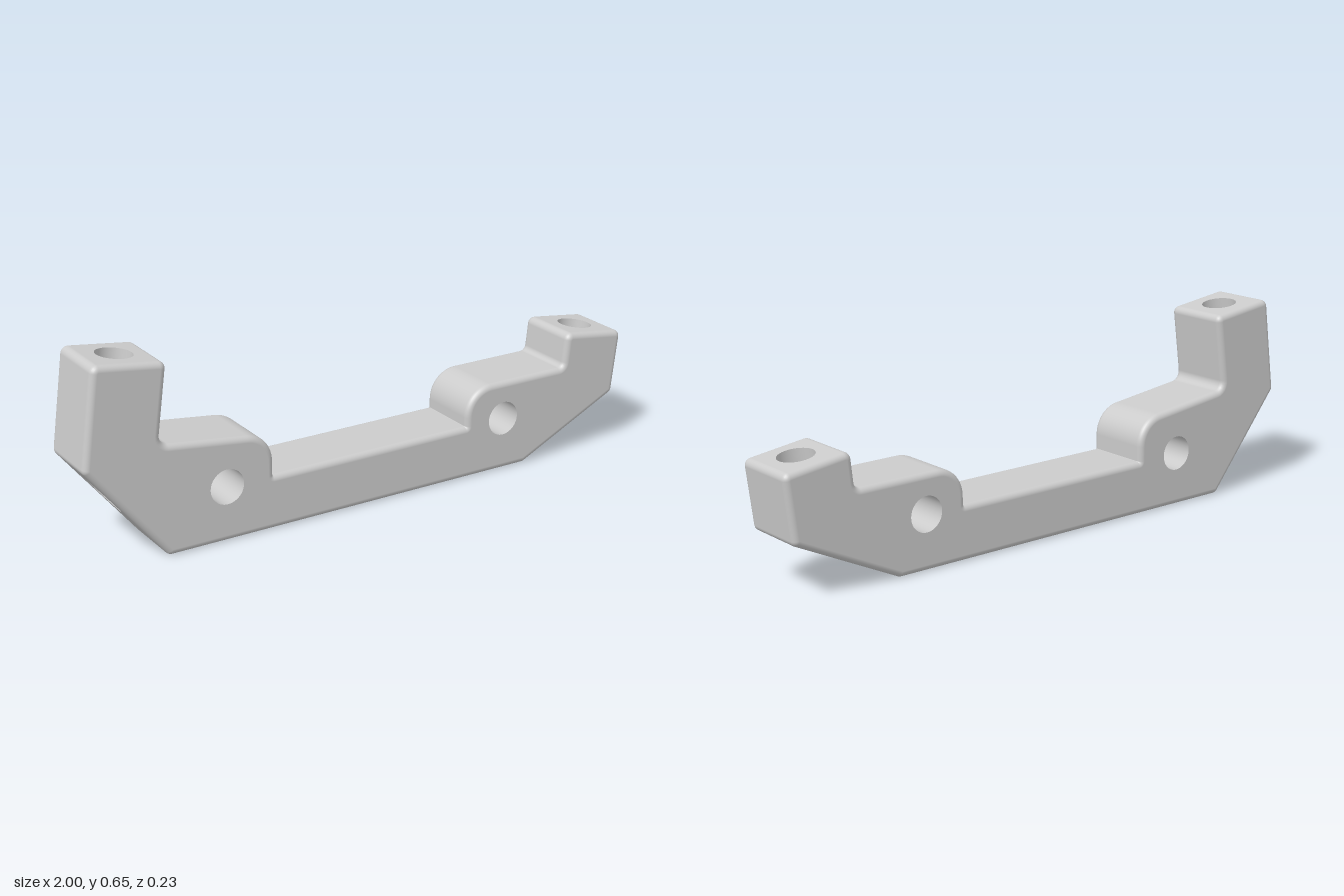
import * as THREE from 'three';

const HALF = 0.115;   // half thickness
const BEVEL = 0.02;   // rounded edge radius
const HOLE_R = 0.058;
const SIDES = 32;
const material = new THREE.MeshStandardMaterial({ color: 0xcccccc });

// Outline corners, counter-clockwise: x, y, corner radius
const corners = [
  [-0.735, 0, 0.022], [0.6, 0, 0.022], [0.973, 0.18, 0.022], [1, 0.397, 0.022],
  [0.768, 0.428, 0.024], [0.755, 0.31, 0.02], [0.358, 0.31, 0.1], [0.358, 0.18, 0.001],
  [-0.37, 0.18, 0.001], [-0.37, 0.318, 0.1], [-0.755, 0.366, 0.03], [-0.72, 0.622, 0.022],
  [-0.958, 0.654, 0.024], [-1.002, 0.33, 0.022],
];
const crossHoles = [[-0.535, 0.182], [0.505, 0.182]];
// Bolt bores: a point on the axis, its downward direction, and the outline edges it pierces
const bores = [
  { name: 'rightBoltBore', at: [-0.836, 0.638], dir: [-0.13, -0.99], edges: [11, 13] },
  { name: 'leftBoltBore', at: [0.886, 0.412], dir: [-0.12, -0.99], edges: [3, 1] },
];

// Outline points with outward normals; every corner is an arc
function buildOutline() {
  const pts = [];
  const P = corners.map(([x, y]) => new THREE.Vector2(x, y));
  const count = P.length;
  P.forEach((p, k) => {
    const d0 = p.clone().sub(P[(k + count - 1) % count]).normalize();
    const d1 = P[(k + 1) % count].clone().sub(p).normalize();
    const n0 = new THREE.Vector2(d0.y, -d0.x), n1 = new THREE.Vector2(d1.y, -d1.x);
    const turn = Math.atan2(d0.cross(d1), d0.dot(d1));
    const r = corners[k][2] * Math.sign(turn);
    const centre = p.clone().addScaledVector(n0.clone().add(n1), -r / (1 + n0.dot(n1)));
    const steps = corners[k][2] > 0.05 ? 14 : 6;
    for (let i = 0; i <= steps; i++) {
      const n = n0.clone().rotateAround(new THREE.Vector2(), turn * i / steps);
      pts.push({ p: centre.clone().addScaledVector(n, r), n, corner: k, last: i === steps });
    }
  });
  return pts;
}

// Closed skin across rings of points with given normals
function skin(rings, normals, skip = () => false) {
  const n = rings[0].length, index = [];
  for (let j = 0; j < rings.length - 1; j++) {
    for (let i = 0; i < n; i++) {
      if (skip(i, j)) continue;
      const i2 = (i + 1) % n;
      const a = j * n + i, b = j * n + i2, c = b + n, d = a + n;
      index.push(a, b, c, a, c, d);
    }
  }
  const flat = (list) => new THREE.Float32BufferAttribute(list.flat().flatMap((v) => v.toArray()), 3);
  const g = new THREE.BufferGeometry();
  g.setAttribute('position', flat(rings));
  g.setAttribute('normal', flat(normals));
  g.setIndex(index);
  return g;
}

function circle(fn) {
  return Array.from({ length: SIDES }, (_, i) => {
    const t = i / SIDES * Math.PI * 2;
    return fn(Math.cos(t), Math.sin(t));
  });
}

function flatFace(points, holes) {
  const shape = new THREE.Shape(points);
  holes.forEach((h) => shape.holes.push(new THREE.Path(h)));
  return new THREE.ShapeGeometry(shape);
}

export function createModel() {
  const group = new THREE.Group();
  const add = (name, geometry) => {
    const mesh = new THREE.Mesh(geometry, material);
    mesh.name = name;
    group.add(mesh);
  };
  const outline = buildOutline();
  const pierced = new Set(bores.flatMap((b) => b.edges));

  // Side walls with rounded front and back edges
  const steps = 6, rings = [], normals = [];
  for (let j = 0; j <= 2 * steps + 1; j++) {
    const upper = j > steps;
    const a = (upper ? j - steps - 1 : j - steps) / steps * Math.PI / 2;
    const z = (upper ? 1 : -1) * (HALF - BEVEL) + BEVEL * Math.sin(a);
    const inset = BEVEL * (1 - Math.cos(a));
    rings.push(outline.map(({ p, n }) => new THREE.Vector3(p.x - n.x * inset, p.y - n.y * inset, z)));
    normals.push(outline.map(({ n }) => new THREE.Vector3(n.x * Math.cos(a), n.y * Math.cos(a), Math.sin(a))));
  }
  add('bracketWalls', skin(rings, normals,
    (i, j) => j === steps && outline[i].last && pierced.has(outline[i].corner)));

  // Front and back faces with the cross holes
  for (const side of [1, -1]) {
    const face = flatFace(
      outline.map(({ p, n }) => new THREE.Vector2(side * (p.x - n.x * BEVEL), p.y - n.y * BEVEL)),
      crossHoles.map(([x, y]) => circle((c, s) => new THREE.Vector2(side * (x + HOLE_R * c), y + HOLE_R * s))));
    face.translate(0, 0, HALF);
    if (side < 0) face.rotateY(Math.PI);
    add(side > 0 ? 'frontFace' : 'backFace', face);
  }

  // Cross hole linings
  crossHoles.forEach(([x, y], k) => {
    const ring = (z) => circle((c, s) => new THREE.Vector3(x + HOLE_R * c, y + HOLE_R * s, z));
    const inward = circle((c, s) => new THREE.Vector3(-c, -s, 0));
    add(k ? 'leftCrossHole' : 'rightCrossHole', skin([ring(HALF), ring(-HALF)], [inward, inward]));
  });

  // Bolt bores and the flat walls they open through
  for (const { name, at, dir, edges } of bores) {
    const u = new THREE.Vector2(...dir).normalize();
    const v = new THREE.Vector2(u.y, -u.x);
    const boreRings = edges.map((edge) => {
      const i = outline.findIndex((o) => o.corner === edge && o.last);
      const A = outline[i].p, B = outline[(i + 1) % outline.length].p, n = outline[i].n;
      const e = B.clone().sub(A).normalize();
      const ring = circle((c, s) => {
        const q = new THREE.Vector2(...at).addScaledVector(v, HOLE_R * c);
        q.addScaledVector(u, A.clone().sub(q).dot(n) / u.dot(n));
        return new THREE.Vector3(q.x, q.y, HOLE_R * s);
      });
      const len = A.distanceTo(B), w = HALF - BEVEL;
      const wall = flatFace(
        [[0, -w], [len, -w], [len, w], [0, w]].map((c) => new THREE.Vector2(...c)),
        [ring.map((q) => new THREE.Vector2((q.x - A.x) * e.x + (q.y - A.y) * e.y, q.z))]);
      wall.applyMatrix4(new THREE.Matrix4().makeBasis(
        new THREE.Vector3(e.x, e.y, 0), new THREE.Vector3(0, 0, 1), new THREE.Vector3(n.x, n.y, 0),
      ).setPosition(A.x, A.y, 0));
      add(name + 'Wall', wall);
      return ring;
    });
    const inward = circle((c, s) => new THREE.Vector3(-v.x * c, -v.y * c, -s));
    add(name, skin(boreRings, [inward, inward]));
  }
  return group;
}
